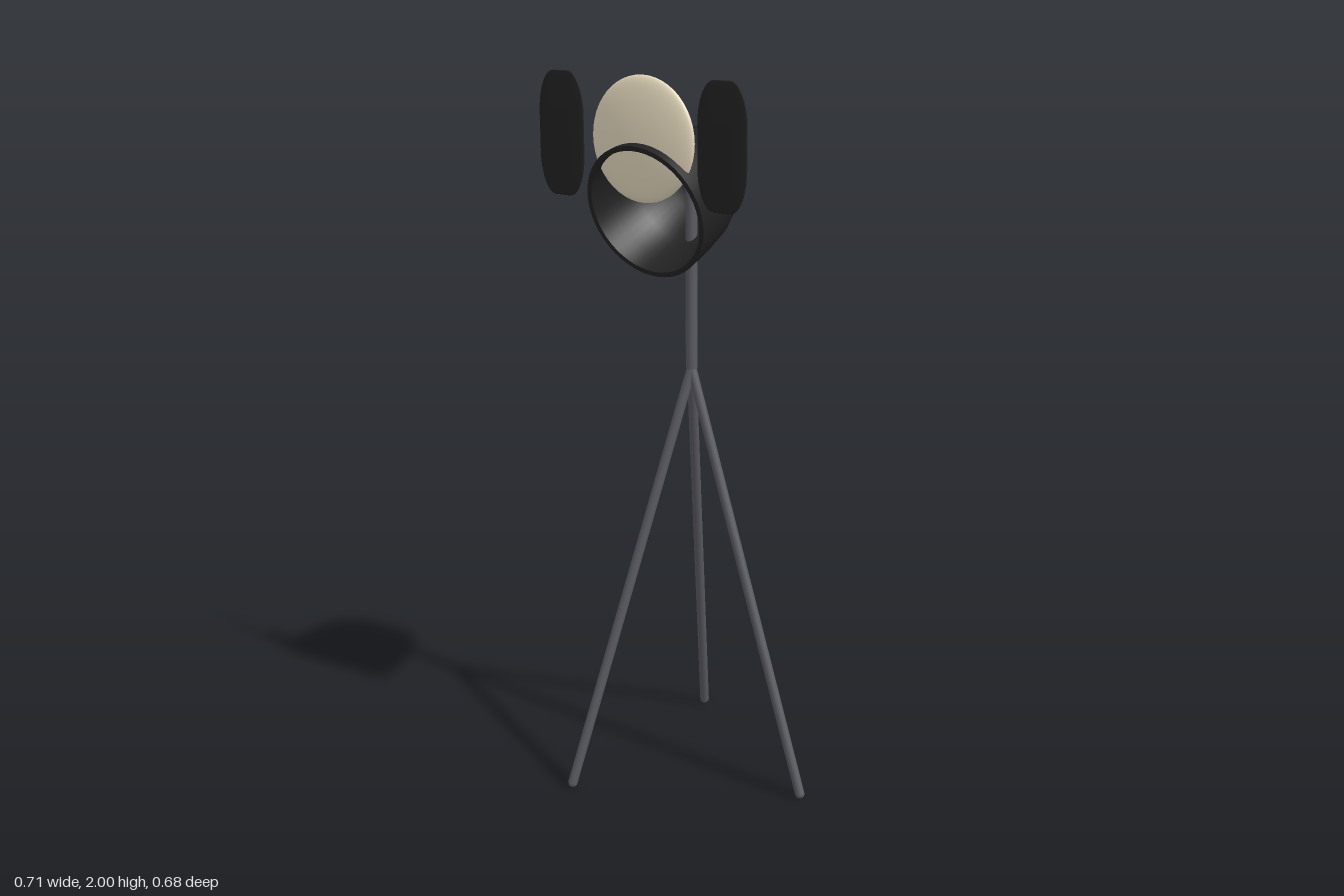
import * as THREE from 'three';
import { RoundedBoxGeometry } from 'three/addons/geometries/RoundedBoxGeometry.js';
import { toCreasedNormals } from 'three/addons/utils/BufferGeometryUtils.js';

const AXIS_X = -0.033; // the stand and head share this centre line

const black = new THREE.MeshStandardMaterial({ color: 0x222222 });
const metal = new THREE.MeshStandardMaterial({ color: 0x5a5a62 });
const cream = new THREE.MeshStandardMaterial({ color: 0xe8dcc0 });

function add(parent, name, geometry, material) {
  const mesh = new THREE.Mesh(geometry, material);
  mesh.name = name;
  parent.add(mesh);
  return mesh;
}

// Round-ended rod between two points
function rod(parent, name, from, to, radius) {
  const dir = to.clone().sub(from);
  const mesh = add(parent, name, new THREE.CapsuleGeometry(radius, dir.length(), 4, 16), metal);
  mesh.position.copy(from).add(to).multiplyScalar(0.5);
  mesh.quaternion.setFromUnitVectors(new THREE.Vector3(0, 1, 0), dir.normalize());
  return mesh;
}

export function createModel() {
  const model = new THREE.Group();
  model.name = 'tripodLamp';
  const lamp = new THREE.Group();
  lamp.name = 'lamp';
  lamp.position.x = AXIS_X;
  model.add(lamp);

  // Tripod legs
  const hub = new THREE.Vector3(0, 1.2, 0);
  for (let i = 0; i < 3; i++) {
    const a = (i * Math.PI * 2) / 3;
    const foot = new THREE.Vector3(0.375 * Math.cos(a), 0.0135, 0.375 * Math.sin(a));
    rod(lamp, 'leg', hub, foot, 0.0135);
  }

  // Upright pole running into the head
  const pole = add(lamp, 'pole', new THREE.CylinderGeometry(0.016, 0.016, 0.5, 20), metal);
  pole.position.y = 1.45;

  // Hollow head: radius against depth behind the rim, inside first, then outside
  const outer = [[0.182, 0], [0.177, 0.077], [0.165, 0.161], [0.134, 0.255], [0.095, 0.284], [0, 0.288]];
  const inner = outer.map(([r, d]) => [Math.max(r - 0.013, 0), d > 0 ? d - 0.01 : 0]).reverse();
  const profile = [...inner, ...outer].map(([r, d]) => new THREE.Vector2(r, d));
  const head = add(lamp, 'head', toCreasedNormals(new THREE.LatheGeometry(profile, 48), 0.9), black);
  head.position.set(0, 1.654, 0.204);
  head.rotation.x = -1.279; // opening tips forward and down

  // Lens-shaped disc
  const lens = add(lamp, 'lens', new THREE.SphereGeometry(1, 48, 24), cream);
  lens.scale.set(0.16, 0.16, 0.026);
  lens.position.set(0, 1.84, 0.207);

  // Thin rounded flaps on either side
  for (const side of [-1, 1]) {
    const flap = add(lamp, side > 0 ? 'leftFlap' : 'rightFlap', new RoundedBoxGeometry(1, 1, 1, 6, 0.34), black);
    flap.scale.set(0.146, 0.32, 0.01);
    flap.position.set(side * 0.2535, 1.84, 0.222);
  }

  return model;
}
